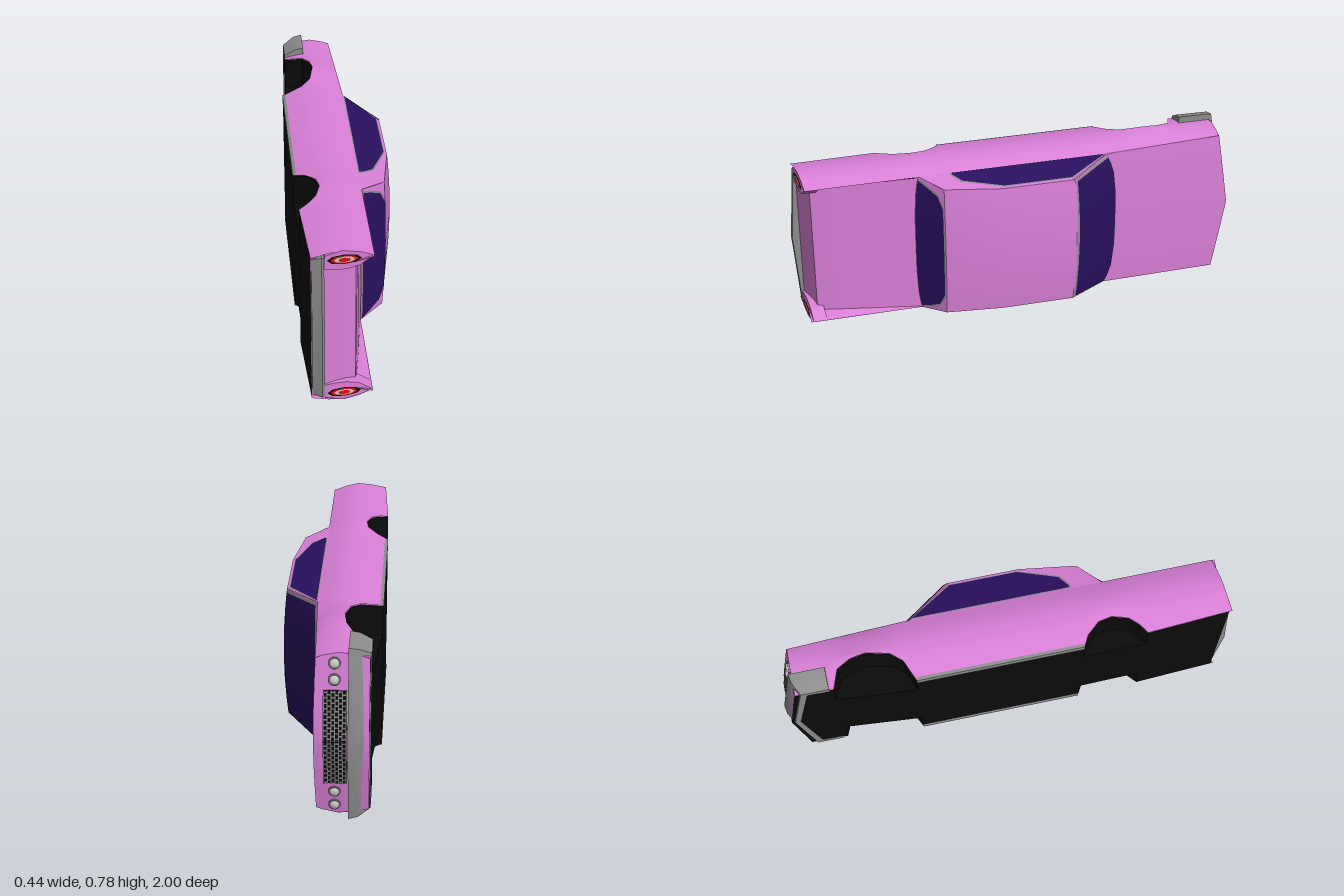
import * as THREE from 'three';
import { toCreasedNormals } from 'three/addons/utils/BufferGeometryUtils.js';

const mat = (color) => new THREE.MeshStandardMaterial({ color, side: THREE.DoubleSide });
const paint = mat(0xda80d8), glass = mat(0x2a1060), black = mat(0x0b0b0b), grey = mat(0x8c8c8c);
const red = mat(0xe01010), silver = mat(0xcccccc);

// The car is modelled upright (x across, y up, tail at +z), then laid on its side.
const lerp = THREE.MathUtils.lerp;
const table = (pts) => (t) => {
  if (t <= pts[0][0]) return pts[0][1];
  for (let i = 1; i < pts.length; i++) {
    const [a, p] = pts[i - 1], [b, q] = pts[i];
    if (t <= b) return lerp(p, q, (t - a) / (b - a));
  }
  return pts[pts.length - 1][1];
};

const frontArch = [[-0.76, -0.19], [-0.73, -0.11], [-0.67, -0.08], [-0.6, -0.07], [-0.5, -0.09], [-0.45, -0.13], [-0.41, -0.22]];
const rearArch = [[0.32, -0.22], [0.345, -0.175], [0.4, -0.13], [0.46, -0.12], [0.53, -0.14], [0.57, -0.175], [0.6, -0.215]];
const arches = [frontArch, rearArch];
const floorY = table([[-0.93, -0.185], [-0.76, -0.19], [-0.41, -0.22], [0.32, -0.22], [0.6, -0.215], [0.965, -0.195]]);
const hemY = table([[-0.93, -0.185], ...frontArch, ...rearArch, [0.965, -0.195]]);
const beltY = table([[-0.93, 0.03], [-0.4, 0.055], [0.96, 0.057]]);
const profile = table([[-0.22, 0.33], [-0.19, 0.34], [-0.14, 0.352], [-0.07, 0.365], [0, 0.35], [0.057, 0.328]]);
const bodyW = (y, z) => profile(y) + (y < 0.02 ? 0.013 * Math.exp(-(((z + 0.6) / 0.1) ** 2))
  + 0.004 * Math.exp(-(((z - 0.46) / 0.08) ** 2)) : 0);
const noseZ = (x) => -0.98 + 0.055 * Math.abs(x) / 0.35;
const tailZ = (y) => 0.97 - 0.1 * (y + 0.14);

function add(parent, name, geo, material) {
  const m = new THREE.Mesh(geo, material);
  m.name = name;
  parent.add(m);
  return m;
}

// Surface through rows of points
function surface(parent, name, rows, material) {
  const n = rows[0].length, idx = [];
  for (let r = 0; r < rows.length - 1; r++)
    for (let c = 0; c < n - 1; c++) {
      const a = r * n + c;
      idx.push(a, a + 1, a + n, a + 1, a + n + 1, a + n);
    }
  const g = new THREE.BufferGeometry();
  g.setAttribute('position', new THREE.Float32BufferAttribute(rows.flat(2), 3));
  g.setIndex(idx);
  return add(parent, name, toCreasedNormals(g, 0.4), material);
}

const across = [-1, -0.9, -0.75, -0.4, 0, 0.4, 0.75, 0.9, 1];

function buildSide(car, s) {
  const side = new THREE.Group();
  side.name = s > 0 ? 'rightSide' : 'leftSide';
  side.scale.x = s;
  car.add(side);

  // Outer skin with wheel arches cut into its lower edge
  const zs = [-0.925, -0.85, ...frontArch.map((p) => p[0]), -0.2, 0.1, ...rearArch.map((p) => p[0]), 0.75, 0.9, 0.965];
  surface(side, 'bodySide', zs.map((z) => {
    const b = hemY(z), t = beltY(z);
    return [b, lerp(b, -0.06, 0.5), -0.06, 0, t].map((y) => [bodyW(y, z), y, z > 0.96 ? tailZ(y) : z]);
  }), paint);

  // Wheel wells
  for (const arch of arches) {
    surface(side, 'wheelWell', arch.map(([z, y]) =>
      [[bodyW(y, z) - 0.003, y, z], [0.2, y, z], [0.2, floorY(z), z]]), black);
  }

  // Sill strip
  surface(side, 'sill', [-0.41, 0.32].map((z) =>
    [[0.3, -0.222, z], [0.332, -0.222, z], [0.336, -0.208, z]]), grey);

  // Tail fin inner wall
  surface(side, 'finInner', [0.46, 0.7, 0.92, 0.962].map((z) =>
    [[0.328, 0.056, z], [lerp(0.325, 0.305, (z - 0.46) / 0.5), trunkY(z) - 0.01, z]]), paint);

  // Tail lamp pod, its end leaning forward at the top
  const pod = new THREE.Shape([[0.343, -0.14], [0.362, -0.07], [0.348, 0], [0.327, 0.056], [0.287, 0],
    [0.275, -0.05], [0.275, -0.09], [0.28, -0.14]].map((p) => new THREE.Vector2(...p)));
  const podGeo = new THREE.ExtrudeGeometry(pod, { depth: 0.06, bevelEnabled: false });
  const p = podGeo.attributes.position;
  for (let i = 0; i < p.count; i++) p.setZ(i, tailZ(p.getY(i)) - 0.06 + p.getZ(i));
  podGeo.computeVertexNormals();
  add(side, 'tailPod', podGeo, paint);
  [[0.022, 0.07, black], [0.018, 0.056, red], [0.014, 0.042, silver], [0.01, 0.025, red]].forEach(([w, h, m], i) => {
    const lamp = add(side, 'tailLamp', new THREE.CircleGeometry(1, 8), m);
    lamp.scale.set(w, h, 1);
    lamp.rotation.x = -0.1;
    lamp.position.set(0.322, -0.062, tailZ(-0.062) + 0.002 + i * 0.0015);
  });

  // Cabin side and its window
  const cabinX = (y) => 0.33 - (y - 0.055) * 0.2;
  const sidePoint = (out) => ([z, y]) => [cabinX(y) + out, y, z];
  surface(side, 'cabinSide', [[[-0.39, 0.053], [-0.19, 0.2]], [[0.1, 0.053], [0.12, 0.2]],
    [[0.46, 0.053], [0.37, 0.16]]].map((r) => r.map(sidePoint(0))), paint);
  const pane = (g) => [[[-0.375 - g, 0.06 - g / 2], [-0.19 - g / 2, 0.186 + g / 2]],
    [[0.1, 0.06 - g / 2], [0.11 + g / 2, 0.186 + g / 2]],
    [[0.28, 0.06 - g / 2], [0.28 + g, 0.12 + g / 2]], [[0.315 + g, 0.06 - g / 2], [0.315 + g, 0.07]]];
  surface(side, 'sideWindowTrim', pane(0.008).map((r) => r.map(sidePoint(0.002))), grey);
  surface(side, 'sideWindow', pane(0).map((r) => r.map(sidePoint(0.004))), glass);

  // Half of the pointed nose: grille mesh and twin headlamps
  const nose = new THREE.Group();
  nose.name = 'noseFittings';
  nose.position.z = -0.982;
  nose.rotation.y = -Math.atan(0.055 / 0.35);
  side.add(nose);
  const box = (name, w, h, d, x, y, z, m) =>
    add(nose, name, new THREE.BoxGeometry(w, h, d), m).position.set(x, y, z);
  box('grilleBack', 0.21, 0.095, 0.004, 0.107, -0.048, 0, black);
  for (let r = 0; r <= 6; r++) {
    const y = -0.093 + r * 0.015;
    box('grilleBar', 0.21, 0.004, 0.006, 0.107, y, -0.002, grey);
    for (let c = 0; r < 6 && c < 9; c++)
      box('grilleRib', 0.006, 0.015, 0.006, 0.01 + c * 0.023 + (r % 2) * 0.0115, y + 0.0075, -0.002, grey);
  }
  for (const x of [0.255, 0.323]) {
    const rim = add(nose, 'headlampRim', new THREE.CylinderGeometry(0.025, 0.025, 0.008, 16), grey);
    rim.rotation.x = Math.PI / 2;
    rim.position.set(x, -0.045, 0);
    const lens = add(nose, 'headlamp', new THREE.SphereGeometry(0.02, 14, 8), silver);
    lens.scale.z = 0.45;
    lens.position.set(x, -0.045, -0.004);
  }
}

const trunkY = (z) => lerp(0.055, -0.008, Math.max(0, (z - 0.46) / 0.455));

// Bumper: a section of [inset, height] swept along a mirrored path of [x, z]
function bumper(car, name, half, section, dir) {
  const path = [...half, [0, half[half.length - 1][2] ?? 0], ...half.slice().reverse().map(([x, z]) => [-x, z])];
  const rows = path.map(([x, z], i) => section.map(([d, y]) =>
    [x - Math.sign(x) * d, y, i === 0 || i === path.length - 1 ? z : z - dir * d]));
  const flat = (r) => r.map(() => [0, 1, 2].map((k) => r.reduce((t, q) => t + q[k], 0) / r.length));
  surface(car, name, [flat(rows[0]), ...rows, flat(rows[rows.length - 1])], grey);
}

export function createModel() {
  const model = new THREE.Group();
  model.name = 'car';
  const car = new THREE.Group();
  car.name = 'carOnItsSide';
  car.rotation.z = -Math.PI / 2;
  car.position.y = 0.388;
  model.add(car);

  for (const s of [1, -1]) buildSide(car, s);

  // Hood, running back under the cabin
  surface(car, 'hood', [0, 0.3, 0.65, 1].map((v) => across.map((u) => {
    const x = u * lerp(0.338, 0.33, v), z = lerp(noseZ(x), -0.36, v);
    return [x, beltY(z) + 0.008 * (1 - u * u), z];
  })), paint);
  surface(car, 'cowl', [-0.36, 0.47].map((z) => across.map((u) => [u * 0.328, 0.054, z])), paint);

  // Nose panel
  surface(car, 'nosePanel', [-0.185, -0.1, -0.06, 0, 0.03].map((y) => across.map((u) => {
    const x = u * bodyW(y, -0.925);
    return [x, y + (y > 0.02 ? 0.008 * (1 - u * u) : 0), noseZ(x)];
  })), paint);

  // Sunken trunk lid, rolling over into the tail panel
  surface(car, 'trunkLid', [[0.46, 0.054], [0.7, 0.023], [0.9, -0.005], [0.922, -0.012], [0.927, -0.03], [0.962, -0.14], [0.96, -0.195]]
    .map(([z, y], i) => across.map((u) => [u * (i > 4 ? 0.335 : lerp(0.325, 0.305, (z - 0.46) / 0.5)), y, z])), paint);

  // Floor, narrowed between the wheel wells
  const zf = [-0.925, -0.76, -0.41, 0.32, 0.6, 0.962];
  for (let i = 0; i < zf.length - 1; i++) {
    const inWell = i === 1 || i === 3;
    surface(car, 'floor', [zf[i], zf[i + 1]].map((z) => [-1, 0, 1].map((u) => {
      const x = u * (inWell ? 0.2 : bodyW(floorY(z), z) - 0.003);
      return [x, floorY(z), i === 0 && z < -0.9 ? noseZ(x) : z];
    })), black);
  }

  // Roof
  surface(car, 'roof', [[-0.2, 0.2, 0.017], [0.12, 0.2, 0.017], [0.37, 0.16, 0.01]].map(([z, y, dome]) =>
    across.map((u) => [u * (0.33 - (y - 0.055) * 0.2), y + dome * (1 - u * u), z + (z < 0 ? -0.01 * (1 - u * u) : 0)])), paint);

  // Windscreen and rear window: painted frame, trim and glass as three thin layers
  const screen = (name, point, taper) => {
    [['Frame', 0, 0, paint], ['Trim', 0.002, 0.015, grey], ['Glass', 0.004, 0.04, glass]].forEach(([part, out, inset, m], layer) => {
      surface(car, name + part, [0, 0.4, 0.8, 1].map((t) => {
        const v = lerp(inset, 1 - inset, t);
        const w = layer ? 1 - inset - taper(t) : 1;
        return across.map((u) => point(u * w, v, out));
      }), m);
    });
  };
  screen('windscreen', (u, v, out) => [u * lerp(0.33, 0.301, v),
    lerp(0.055, 0.2 + 0.017 * (1 - u * u), v) + out,
    lerp(-0.44 + 0.05 * u ** 4, -0.21 + 0.01 * u * u, v) - out], () => 0);
  screen('rearWindow', (u, v, out) => [u * lerp(0.33, 0.309, v),
    lerp(0.054, 0.16 + 0.01 * (1 - u * u), v) + out,
    lerp(0.48 - 0.02 * u ** 4, 0.37, v) + out], table([[0, 0], [0.4, 0.04], [0.8, 0.1], [1, 0.27]]));

  // Bumpers
  bumper(car, 'frontBumper', [[0.388, -0.78], [0.386, -0.935, -1]],
    [[0.045, -0.1], [0, -0.1], [0.007, -0.14], [0.035, -0.19], [0.06, -0.19], [0.045, -0.1]], -1);
  bumper(car, 'rearBumper', [[0.345, 0.92], [0.338, 0.975, 1]],
    [[0.04, -0.142], [0.004, -0.142], [0, -0.152], [0.014, -0.192], [0.04, -0.192], [0.04, -0.142]], 1);

  return model;
}
